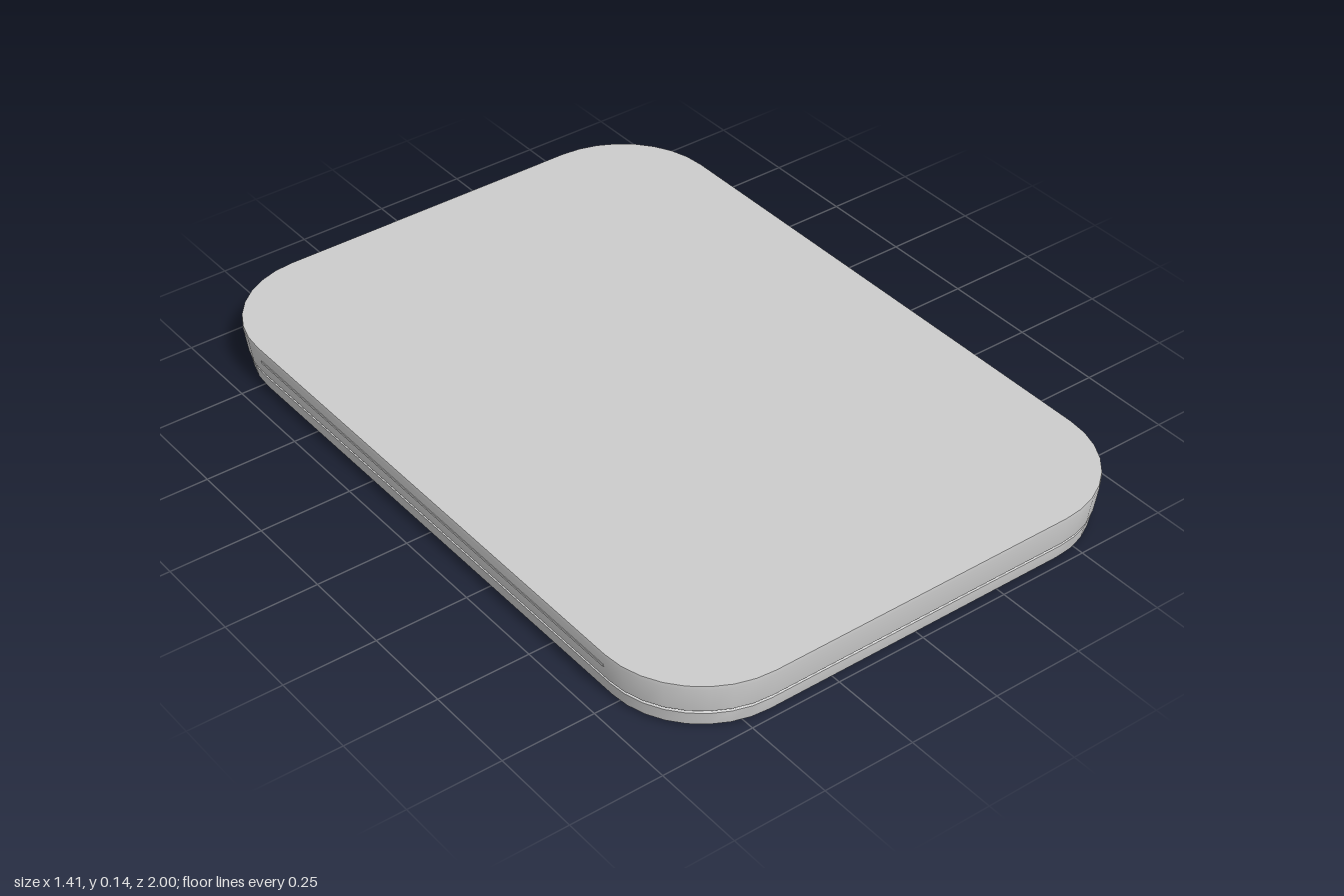
import * as THREE from 'three';
import { toCreasedNormals } from 'three/addons/utils/BufferGeometryUtils.js';

const HALF_X = 0.705, HALF_Z = 1, RADIUS = 0.27, STEPS = 8;

// Rounded rectangle, moved inward by inset, as [x, z] points
function outline(inset) {
  const r = Math.max(RADIUS - inset, 0.06);
  const cx = HALF_X - inset - r, cz = HALF_Z - inset - r;
  const points = [];
  [[1, 1], [-1, 1], [-1, -1], [1, -1]].forEach(([sx, sz], q) => {
    for (let i = 0; i <= STEPS; i++) {
      const a = (q + i / STEPS) * Math.PI / 2;
      points.push([sx * cx + r * Math.cos(a), sz * cz + r * Math.sin(a)]);
    }
  });
  return points;
}

// Skin a stack of outlines, given as [inset, y], and close both ends with fans
function loft(profile) {
  const n = 4 * (STEPS + 1), pos = [], index = [];
  profile.forEach(([inset, y]) => outline(inset).forEach(([x, z]) => pos.push(x, y, z)));
  const last = profile.length - 1;
  const bottom = pos.length / 3, top = bottom + 1;
  pos.push(0, profile[0][1], 0, 0, profile[last][1], 0);
  for (let i = 0; i < n; i++) {
    const j = (i + 1) % n;
    for (let k = 0; k < last; k++) {
      const a = k * n + i, b = k * n + j;
      index.push(a, a + n, b, b, a + n, b + n);
    }
    index.push(bottom, i, j, top, last * n + j, last * n + i);
  }
  const geometry = new THREE.BufferGeometry();
  geometry.setAttribute('position', new THREE.Float32BufferAttribute(pos, 3));
  geometry.setIndex(index);
  return toCreasedNormals(geometry, 0.4);
}

export function createModel() {
  const model = new THREE.Group();
  const material = new THREE.MeshStandardMaterial({ color: 0xcccccc });

  // Slab: recessed underside, narrow foot rim, seamed and slightly flared wall, flat top
  const slab = new THREE.Mesh(loft([
    [0.11, 0.04], [0.085, 0.005],
    [0.028, 0.005], [0.02, 0.012],
    [0.013, 0.05], [0.02, 0.053], [0.02, 0.057], [0.01, 0.06],
    [0, 0.13], [0.001, 0.14],
  ]), material);
  slab.name = 'slab';
  model.add(slab);

  // Thin ribs along the two long walls
  for (const side of [-1, 1]) {
    const rib = new THREE.Mesh(new THREE.BoxGeometry(0.008, 0.006, 1.44), material);
    rib.name = side > 0 ? 'leftRib' : 'rightRib';
    rib.position.set(side * 0.699, 0.1, 0);
    model.add(rib);
  }

  // Stand on y = 0
  model.children.forEach((part) => { part.position.y -= 0.005; });
  return model;
}
